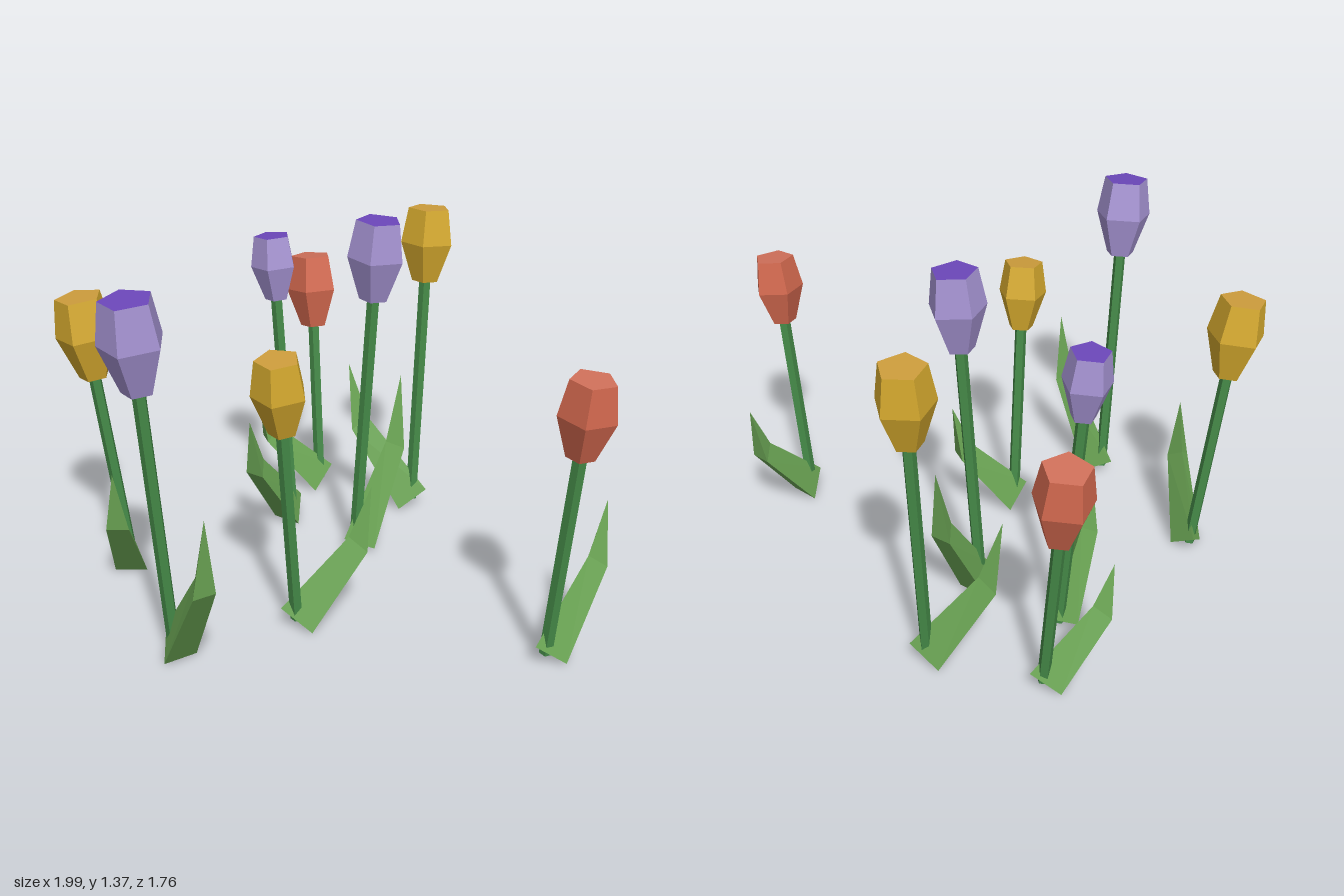
import * as THREE from 'three';

const mat = (name, color) => new THREE.MeshStandardMaterial({ name, color, flatShading: true });

// x/z of the root, bottom centre of the bloom, bloom scale, tip of the leaf
const PLANTS = [
  { kind: 'red', root: [-0.1, -0.68], bloom: [-0.13, 0.74, -0.76], size: 0.97, tip: [-0.35, 0.48, -0.58] },
  { kind: 'yellow', root: [0.31, -0.51], bloom: [0.34, 1.01, -0.575], size: 0.95, tip: [0.035, 0.65, -0.54] },
  { kind: 'purple', root: [-0.19, -0.37], bloom: [-0.245, 0.975, -0.405], size: 0.82, tip: [-0.33, 0.55, -0.14] },
  { kind: 'purple', root: [0.09, -0.11], bloom: [0.15, 1.085, -0.1], size: 0.96, tip: [0.255, 0.7, -0.31] },
  { kind: 'yellow', root: [-0.78, 0.07], bloom: [-0.865, 0.825, 0.09], size: 1, tip: [-0.76, 0.55, 0.345] },
  { kind: 'yellow', root: [-0.09, 0.45], bloom: [-0.12, 0.825, 0.53], size: 0.88, tip: [0.17, 0.55, 0.365] },
  { kind: 'red', root: [0.79, 0.6], bloom: [0.84, 0.83, 0.65], size: 0.88, tip: [0.985, 0.55, 0.4] },
  { kind: 'purple', root: [-0.5, 0.65], bloom: [-0.545, 1.045, 0.73], size: 1, tip: [-0.33, 0.68, 0.88] },
];
const ROOT_Y = 0.05;
const TURN = -0.17;

// Three-sided leaf: flat underside, ridge on top, bent upward toward a point
function leafGeometry(root, tip) {
  const up = new THREE.Vector3(0, 1, 0);
  const bend = root.clone().lerp(tip, 0.83);
  bend.y = root.y + (tip.y - root.y) * 0.56;
  const dir = bend.clone().sub(root).normalize();
  const right = dir.clone().cross(up).normalize();
  const ridge = right.clone().cross(dir);
  const ring = (c, w, high, low) => [[-w, -low], [0, high], [w, -low]].map(
    ([a, b]) => c.clone().addScaledVector(right, a).addScaledVector(ridge, b));
  const base = ring(root, 0.062, 0.075, 0.055);
  const mid = ring(bend, 0.042, 0.045, 0.03);
  const pts = [base[0], base[2], base[1]];
  for (let i = 0; i < 3; i++) {
    const j = (i + 1) % 3;
    pts.push(base[i], base[j], mid[i], base[j], mid[j], mid[i], mid[i], mid[j], tip);
  }
  const g = new THREE.BufferGeometry().setFromPoints(pts);
  g.computeVertexNormals();
  return g;
}

export function createModel() {
  const model = new THREE.Group();
  model.name = 'tulips';
  const stemMat = mat('stemGreen', 0x458a48);
  const leafMat = mat('leafGreen', 0x6ca655);
  const petals = {
    red: [mat('redPetal', 0xd4694f), mat('redCrown', 0xd0705a)],
    yellow: [mat('yellowPetal', 0xd6aa2e), mat('yellowCrown', 0xcd9d3c)],
    purple: [mat('lavenderPetal', 0xa694d3), mat('purpleCrown', 0x6c47ba)],
  };

  // Five-sided bloom, closed underneath, with a separate flat top
  const profile = [[0, 0], [0.056, 0], [0.112, 0.165], [0.088, 0.31]]
    .map(([r, y]) => new THREE.Vector2(r, y));
  const cupGeo = new THREE.LatheGeometry(profile, 5, TURN);
  const crownGeo = new THREE.LatheGeometry(
    [new THREE.Vector2(0.088, 0.31), new THREE.Vector2(0, 0.31)], 5, TURN);

  for (const p of PLANTS) {
    const tulip = new THREE.Group();
    tulip.name = p.kind + 'Tulip';
    const root = new THREE.Vector3(p.root[0], ROOT_Y, p.root[1]);
    const axis = new THREE.Vector3(...p.bloom).sub(root);
    const length = axis.length();

    // Stem and bloom share one leaning axis
    const stalk = new THREE.Group();
    stalk.name = 'stalk';
    stalk.position.copy(root);
    stalk.quaternion.setFromUnitVectors(new THREE.Vector3(0, 1, 0), axis.normalize());
    const stem = new THREE.Mesh(
      new THREE.CylinderGeometry(0.024, 0.024, length + 0.02, 5, 1, false, TURN), stemMat);
    stem.name = 'stem';
    stem.position.y = length / 2 + 0.01;
    const bloom = new THREE.Group();
    bloom.name = 'bloom';
    bloom.position.y = length;
    bloom.scale.setScalar(p.size);
    [['petals', cupGeo], ['crown', crownGeo]].forEach(([name, geo], i) => {
      const part = new THREE.Mesh(geo, petals[p.kind][i]);
      part.name = name;
      bloom.add(part);
    });
    stalk.add(stem, bloom);

    const leaf = new THREE.Mesh(leafGeometry(root, new THREE.Vector3(...p.tip)), leafMat);
    leaf.name = 'leaf';
    tulip.add(stalk, leaf);
    model.add(tulip);
  }
  return model;
}
